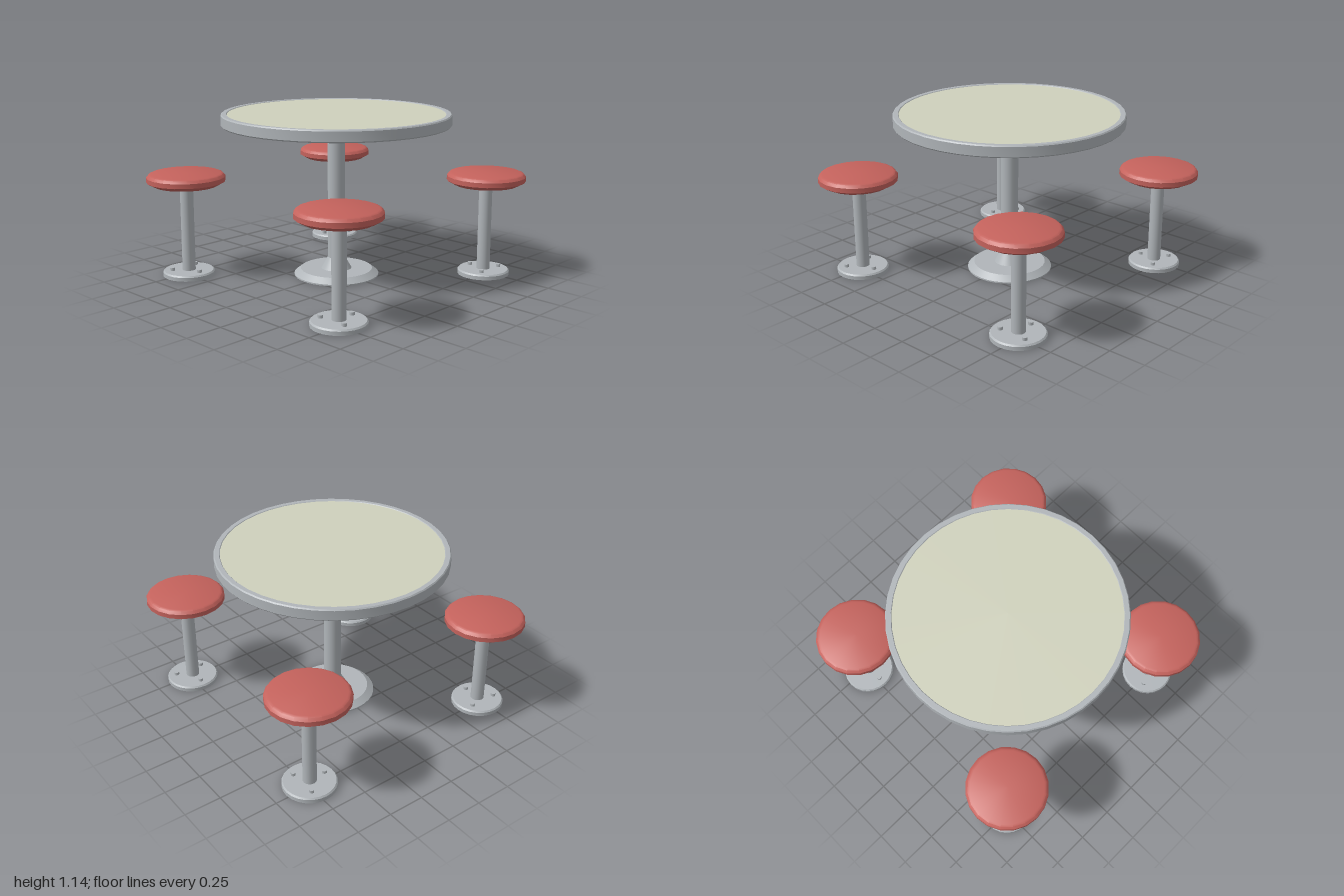
import * as THREE from 'three';
import { toCreasedNormals } from 'three/addons/utils/BufferGeometryUtils.js';

const flat = (name, color) => {
  const m = new THREE.MeshStandardMaterial({ color });
  m.name = name;
  return m;
};

export function createModel() {
  const steel = flat('galvanised steel', 0xb0b5b9);
  const laminate = flat('cream laminate', 0xcfd1bc);
  const seatRed = flat('seat red', 0xc4625c);

  const add = (parent, name, geometry, material) => {
    const mesh = new THREE.Mesh(geometry, material);
    mesh.name = name;
    parent.add(mesh);
    return mesh;
  };
  // Turned part from [radius, height] pairs, bottom to top
  const turned = (parent, name, profile, sides, material) => add(parent, name,
    toCreasedNormals(new THREE.LatheGeometry(
      profile.map(([r, y]) => new THREE.Vector2(r, y)), sides), Math.PI / 6), material);
  const post = (parent, name, r, y0, y1, sides, material) => {
    const mesh = add(parent, name, new THREE.CylinderGeometry(r, r, y1 - y0, sides), material);
    mesh.position.y = (y0 + y1) / 2;
    return mesh;
  };

  const model = new THREE.Group();
  model.name = 'picnicTable';

  // Table: top panel inside a metal rim, on a flanged column
  const table = new THREE.Group();
  table.name = 'table';
  model.add(table);
  post(table, 'tabletopPanel', 0.745, 1.065, 1.136, 40, laminate);
  turned(table, 'tabletopRim', [[0.74, 1.066], [0.745, 1.06], [0.775, 1.06], [0.782, 1.068],
    [0.782, 1.132], [0.775, 1.14], [0.745, 1.14], [0.74, 1.135]], 40, steel);
  turned(table, 'topMount', [[0, 1.005], [0.185, 1.005], [0.195, 1.015], [0.195, 1.05],
    [0.185, 1.066], [0, 1.066]], 32, steel);
  post(table, 'tableColumn', 0.06, 0.1, 1.01, 24, steel);
  turned(table, 'tableBase', [[0, 0], [0.295, 0], [0.295, 0.01], [0.25, 0.045],
    [0.105, 0.045], [0.06, 0.125], [0, 0.125]], 32, steel);

  // Four stools, each turned a quarter from the last
  for (let i = 0; i < 4; i++) {
    const pivot = new THREE.Group();
    pivot.name = 'stoolPivot' + (i + 1);
    pivot.rotation.y = i * Math.PI / 2;
    model.add(pivot);
    const stool = new THREE.Group();
    stool.name = 'stool';
    stool.position.set(0.73, 0, 0.73);
    pivot.add(stool);

    turned(stool, 'seat', [[0, 0.64], [0.22, 0.64], [0.27, 0.668], [0.27, 0.7],
      [0.255, 0.718], [0.24, 0.724], [0, 0.724]], 20, seatRed);
    post(stool, 'stoolPost', 0.046, 0.03, 0.645, 16, steel);
    turned(stool, 'stoolFoot', [[0, 0], [0.18, 0], [0.18, 0.026], [0.171, 0.036],
      [0, 0.036]], 24, steel);

    // Three anchor bolts around the foot
    for (let b = 0; b < 3; b++) {
      const a = Math.PI + b * Math.PI * 2 / 3;
      const bolt = post(stool, 'anchorBolt', 0.017, 0.034, 0.056, 6, steel);
      bolt.position.x = Math.sin(a) * 0.115;
      bolt.position.z = Math.cos(a) * 0.115;
    }
  }
  return model;
}
